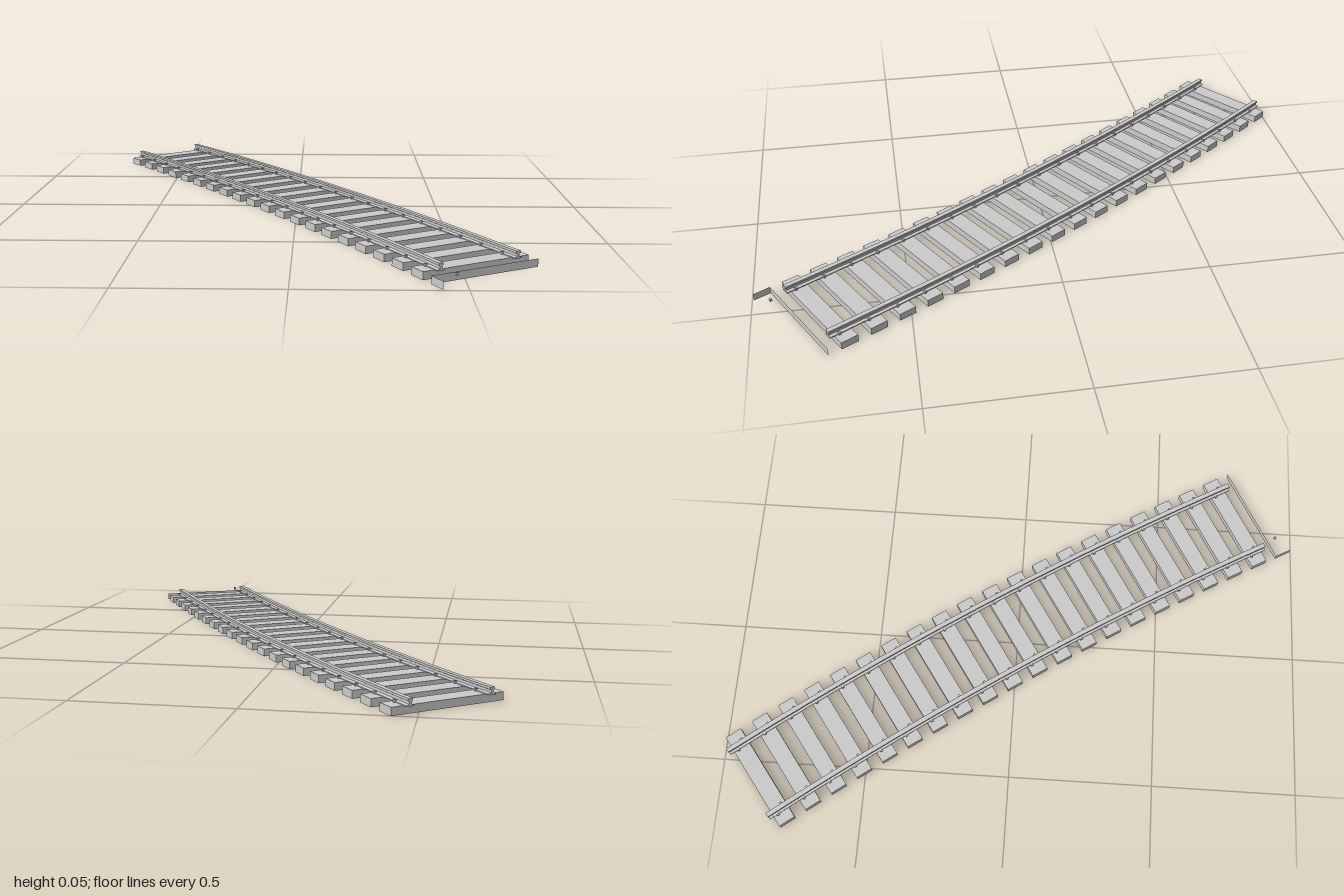
import * as THREE from 'three';

const deg = THREE.MathUtils.degToRad;
const R = 13.18;            // centre line radius
const MID = 33.4;           // bearing of the middle of the curve, degrees
const SWEEP = 9;            // angle covered by the rails
const SLEEPERS = 20;
const STEP = 8.6 / (SLEEPERS - 1);
const GAUGE = 0.275;
const LENGTH = 0.378, WIDTH = 0.06, HEIGHT = 0.025;

export function createModel() {
  const model = new THREE.Group();
  model.name = 'curvedTrack';
  const material = new THREE.MeshStandardMaterial({ color: 0xcccccc, flatShading: true });
  const thin = new THREE.MeshStandardMaterial({ color: 0xcccccc, flatShading: true, side: THREE.DoubleSide });

  // everything turns about the centre of the curve
  const curve = new THREE.Group();
  curve.name = 'curve';
  const reach = R * Math.cos(deg(SWEEP / 2));
  curve.position.set(-0.018 - reach * Math.cos(deg(MID)), 0, -0.036 + reach * Math.sin(deg(MID)));
  model.add(curve);

  // a group whose local x points outward and local z runs along the track
  const station = (name, angle) => {
    const g = new THREE.Group();
    g.name = name;
    g.rotation.y = deg(angle);
    curve.add(g);
    return g;
  };
  const add = (parent, name, geometry, mat, x, y, z) => {
    const mesh = new THREE.Mesh(geometry, mat);
    mesh.name = name;
    mesh.position.set(x, y, z);
    parent.add(mesh);
    return mesh;
  };

  // sleepers with a staggered pair of spikes at each rail
  const sleeperGeo = new THREE.BoxGeometry(LENGTH, HEIGHT, WIDTH);
  const spikeGeo = new THREE.BoxGeometry(0.008, 0.009, 0.008);
  const spikeY = HEIGHT + 0.0045;
  for (let i = 0; i < SLEEPERS; i++) {
    const g = station('sleeperAssembly', MID + (i - (SLEEPERS - 1) / 2) * STEP);
    add(g, 'sleeper', sleeperGeo, material, R, HEIGHT / 2, 0);
    for (const side of [-1, 1]) {
      for (const edge of [-1, 1]) {
        add(g, 'spike', spikeGeo, material, R + side * GAUGE / 2 + edge * 0.014, spikeY, edge * 0.013);
      }
    }
  }

  // open end sleeper: only its rear face, inner end and one spike
  const open = station('openEndSleeper', MID - (SLEEPERS + 1) / 2 * STEP);
  add(open, 'rearFace', new THREE.PlaneGeometry(LENGTH, HEIGHT), thin, R, HEIGHT / 2, -WIDTH / 2);
  add(open, 'innerEnd', new THREE.PlaneGeometry(WIDTH, HEIGHT), thin, R - LENGTH / 2, HEIGHT / 2, 0)
    .rotation.y = -Math.PI / 2;
  add(open, 'spike', spikeGeo, material, R - GAUGE / 2 + 0.014, spikeY, 0);

  // rails: foot, web and head swept round the curve, closed at both ends
  const half = [[0.013, 0.025], [0.013, 0.028], [0.004, 0.031], [0.004, 0.039], [0.008, 0.041], [0.008, 0.048]];
  const outline = [...half, ...half.map(([x, y]) => [-x, y]).reverse()];
  for (const side of [-1, 1]) {
    const profile = outline.map(([x, y]) => new THREE.Vector2(R + side * GAUGE / 2 + x, y));
    const sweep = new THREE.LatheGeometry([...profile, profile[0].clone()], 24,
      deg(MID - SWEEP / 2 + 90), deg(SWEEP));
    add(curve, side < 0 ? 'innerRail' : 'outerRail', sweep, material, 0, 0, 0);
    const cap = new THREE.ShapeGeometry(new THREE.Shape(profile));
    for (const end of [-1, 1]) {
      add(station('railEnd', MID + end * SWEEP / 2), 'railEndFace', cap, thin, 0, 0, 0);
    }
  }
  return model;
}
